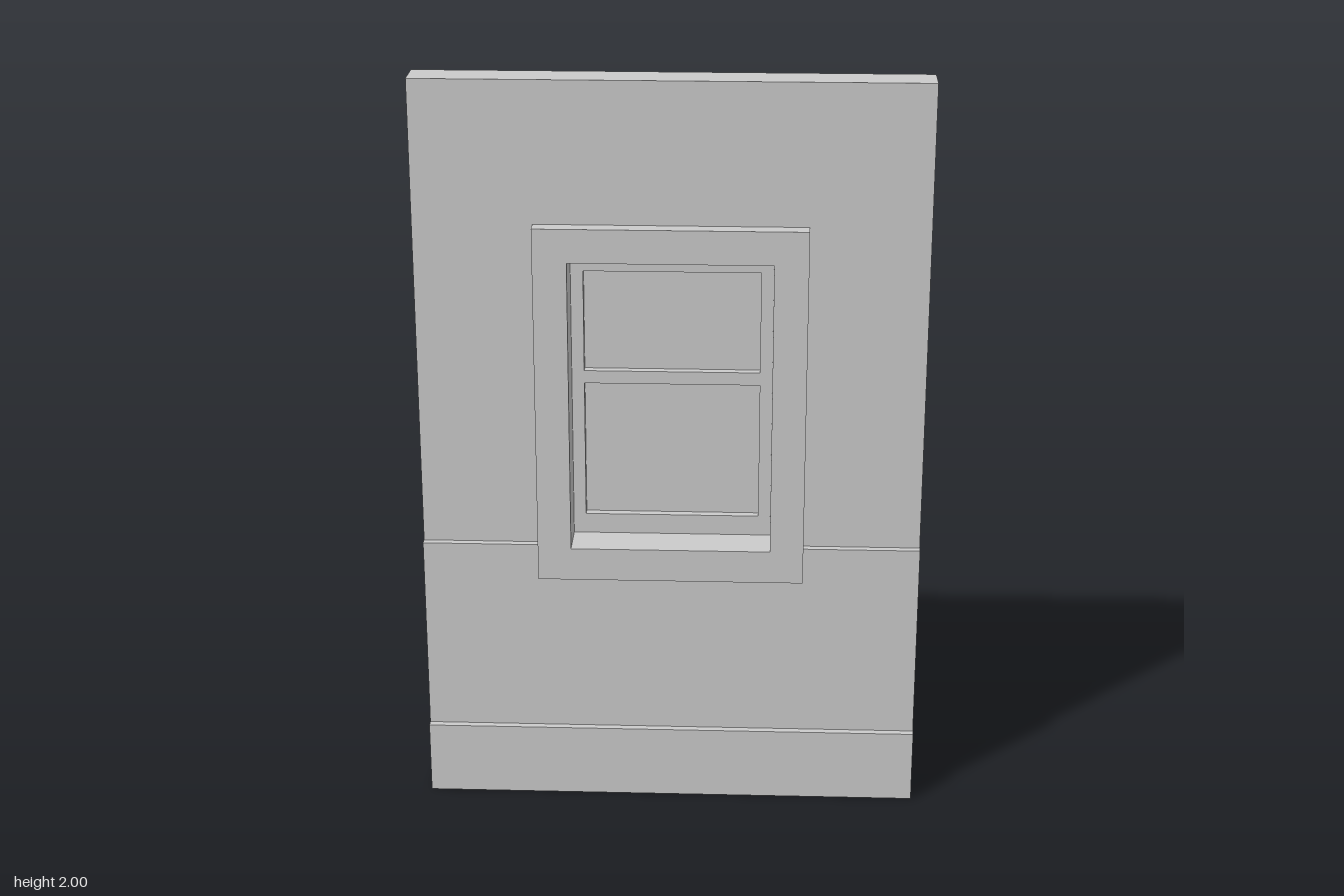
import * as THREE from 'three';

const material = new THREE.MeshStandardMaterial({ color: 0xcccccc, flatShading: true });

// Rectangle given by its left, right, bottom and top edges
function trace(path, [x0, x1, y0, y1]) {
  path.moveTo(x0, y0);
  path.lineTo(x1, y0);
  path.lineTo(x1, y1);
  path.lineTo(x0, y1);
  path.closePath();
  return path;
}

// Flat slab with rectangular openings, reaching from zBack to zFront
function slab(name, outline, openings, zBack, zFront) {
  const shape = trace(new THREE.Shape(), outline);
  for (const o of openings) shape.holes.push(trace(new THREE.Path(), o));
  const geometry = new THREE.ExtrudeGeometry(shape, { depth: zFront - zBack, bevelEnabled: false });
  geometry.translate(0, 0, zBack);
  const mesh = new THREE.Mesh(geometry, material);
  mesh.name = name;
  return mesh;
}

export function createModel() {
  const model = new THREE.Group();
  model.name = 'wallWithWindow';

  const halfWidth = 0.665;
  const casingOuter = [-0.354, 0.354, 0.65, 1.625];
  const opening = [-0.265, 0.265, 0.74, 1.535];
  const lowerPane = [-0.232, 0.232, 0.795, 1.17];
  const upperPane = [-0.232, 0.232, 1.205, 1.48];

  // Wall, baseboard on both faces, raised panel on the front only
  model.add(
    slab('wall', [-halfWidth, halfWidth, 0.2, 2], [casingOuter], -0.05, 0.05),
    slab('baseboard', [-halfWidth, halfWidth, 0, 0.2], [], -0.09, 0.09),
    slab('wainscot', [-halfWidth, halfWidth, 0.2, 0.74], [], 0.05, 0.07)
  );

  // Window: casing through the wall, sash set towards the back, thin panes
  const win = new THREE.Group();
  win.name = 'window';
  win.add(
    slab('casing', casingOuter, [opening], -0.093, 0.093),
    slab('sash', opening, [lowerPane, upperPane], -0.07, -0.02),
    slab('lowerPane', lowerPane, [], -0.047, -0.043),
    slab('upperPane', upperPane, [], -0.047, -0.043)
  );
  model.add(win);
  return model;
}
